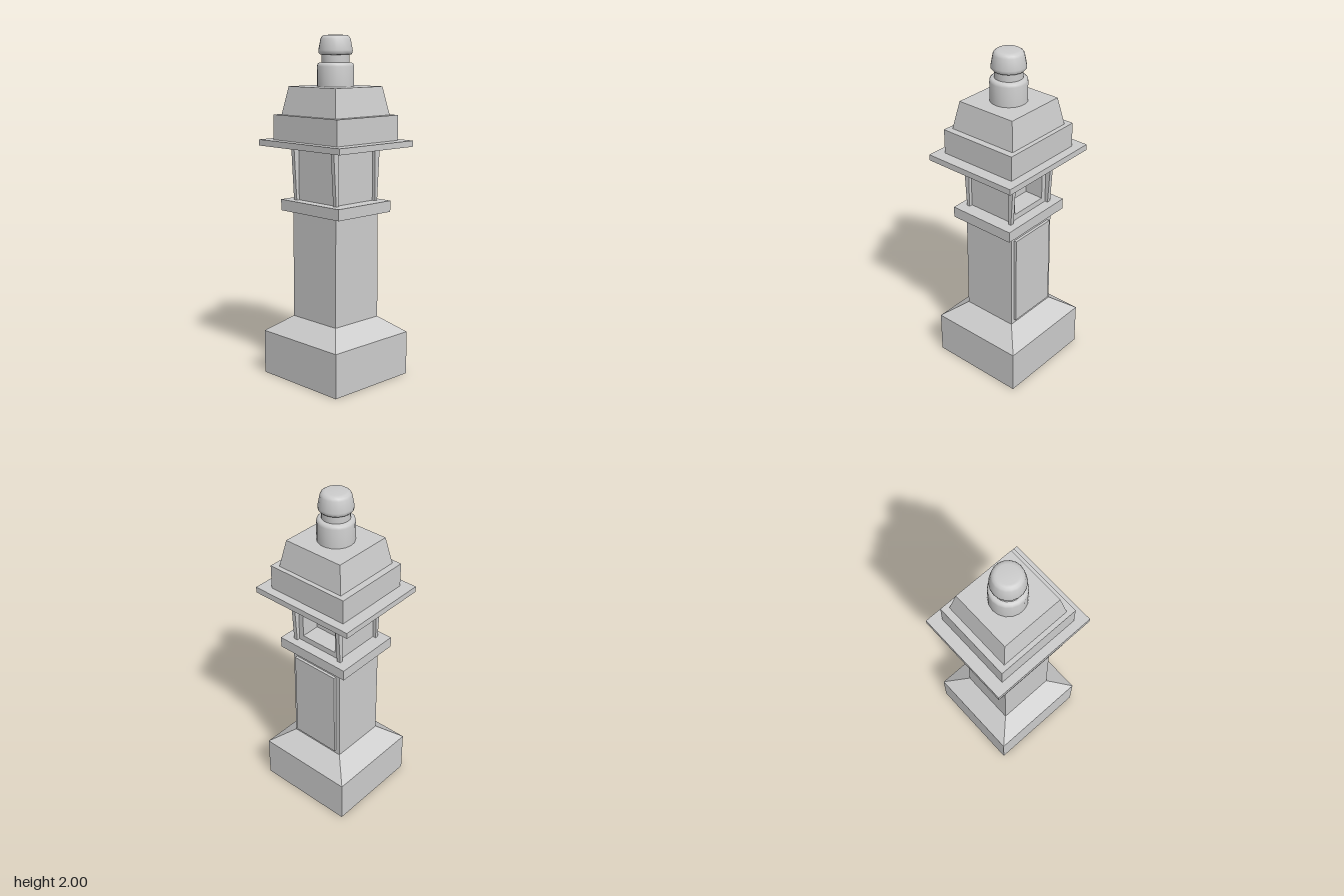
import * as THREE from 'three';
import { toCreasedNormals } from 'three/addons/utils/BufferGeometryUtils.js';

const material = new THREE.MeshStandardMaterial({ color: 0xcccccc });

export function createModel() {
  const model = new THREE.Group();
  model.name = 'stoneLantern';

  const add = (name, geometry, parent = model) => {
    const mesh = new THREE.Mesh(geometry, material);
    mesh.name = name;
    parent.add(mesh);
    return mesh;
  };

  // Box between two rectangles [x0, x1, z0, z1] at heights y0 and y1
  const block = (name, y0, y1, bottom, top = bottom, parent = model) => {
    const g = new THREE.BoxGeometry(1, 1, 1);
    const p = g.attributes.position;
    for (let i = 0; i < p.count; i++) {
      const r = p.getY(i) > 0 ? top : bottom;
      p.setXYZ(i, p.getX(i) > 0 ? r[1] : r[0], p.getY(i) > 0 ? y1 : y0, p.getZ(i) > 0 ? r[3] : r[2]);
    }
    const flat = g.toNonIndexed();
    flat.computeVertexNormals();
    return add(name, flat, parent);
  };
  const rect = (x, z) => [-x, x, -z, z];

  // Pedestal and shaft
  block('base', 0, 0.26, rect(0.295, 0.305));
  block('baseSlope', 0.26, 0.355, rect(0.295, 0.305), rect(0.173, 0.178));
  block('shaft', 0.355, 0.99, rect(0.173, 0.178), rect(0.17, 0.177));
  block('sidePanel', 0.38, 0.94, [0.16, 0.187, -0.152, 0.154], [0.16, 0.187, -0.147, 0.152]);
  block('collar', 0.99, 1.055, rect(0.21, 0.24));

  // Lantern chamber: solid core and a thick wall with a window on the left (+x)
  const chamber = new THREE.Group();
  chamber.name = 'lanternChamber';
  model.add(chamber);
  block('core', 1.055, 1.37, [-0.147, 0.03, -0.155, 0.155], undefined, chamber);

  const wall = new THREE.Shape();
  wall.moveTo(-0.155, 1.055).lineTo(0.155, 1.055).lineTo(0.155, 1.37).lineTo(-0.155, 1.37).closePath();
  const opening = new THREE.Path();
  opening.moveTo(-0.12, 1.09).lineTo(-0.12, 1.315).lineTo(0.12, 1.315).lineTo(0.12, 1.09).closePath();
  wall.holes.push(opening);
  const wallGeometry = new THREE.ExtrudeGeometry(wall, { depth: 0.117, bevelEnabled: false });
  wallGeometry.rotateY(Math.PI / 2).translate(0.03, 0, 0);
  add('windowWall', wallGeometry, chamber);

  // Flared corner posts and the lintel joining them
  for (const sx of [-1, 1]) {
    for (const sz of [-1, 1]) {
      const corner = (xOuter) => {
        const xs = [sx * 0.147, sx * xOuter].sort((a, b) => a - b);
        const zs = [sz * 0.152, sz * 0.176].sort((a, b) => a - b);
        return [...xs, ...zs];
      };
      block('cornerPost', 1.055, 1.37, corner(0.166), corner(0.185), chamber);
    }
  }
  block('lintel', 1.35, 1.37, rect(0.15, 0.175), rect(0.184, 0.175), chamber);

  // Roof
  block('eaves', 1.37, 1.405, rect(0.295, 0.333));
  block('roofTier', 1.405, 1.55, rect(0.243, 0.262));
  block('roofSlope', 1.55, 1.712, rect(0.216, 0.222), rect(0.187, 0.191));

  // Turned finial: drum, neck and rounded cap
  const profile = [
    [0, 1.705], [0.106, 1.705], [0.106, 1.825], [0.103, 1.838], [0.094, 1.845],
    [0.08, 1.847], [0.08, 1.89], [0.09, 1.892], [0.097, 1.9], [0.098, 1.915],
    [0.086, 1.978], [0.08, 1.99], [0.068, 1.998], [0.055, 2], [0, 2],
  ].map(([r, y]) => new THREE.Vector2(r, y));
  add('finial', toCreasedNormals(new THREE.LatheGeometry(profile, 18), 0.8));

  return model;
}
